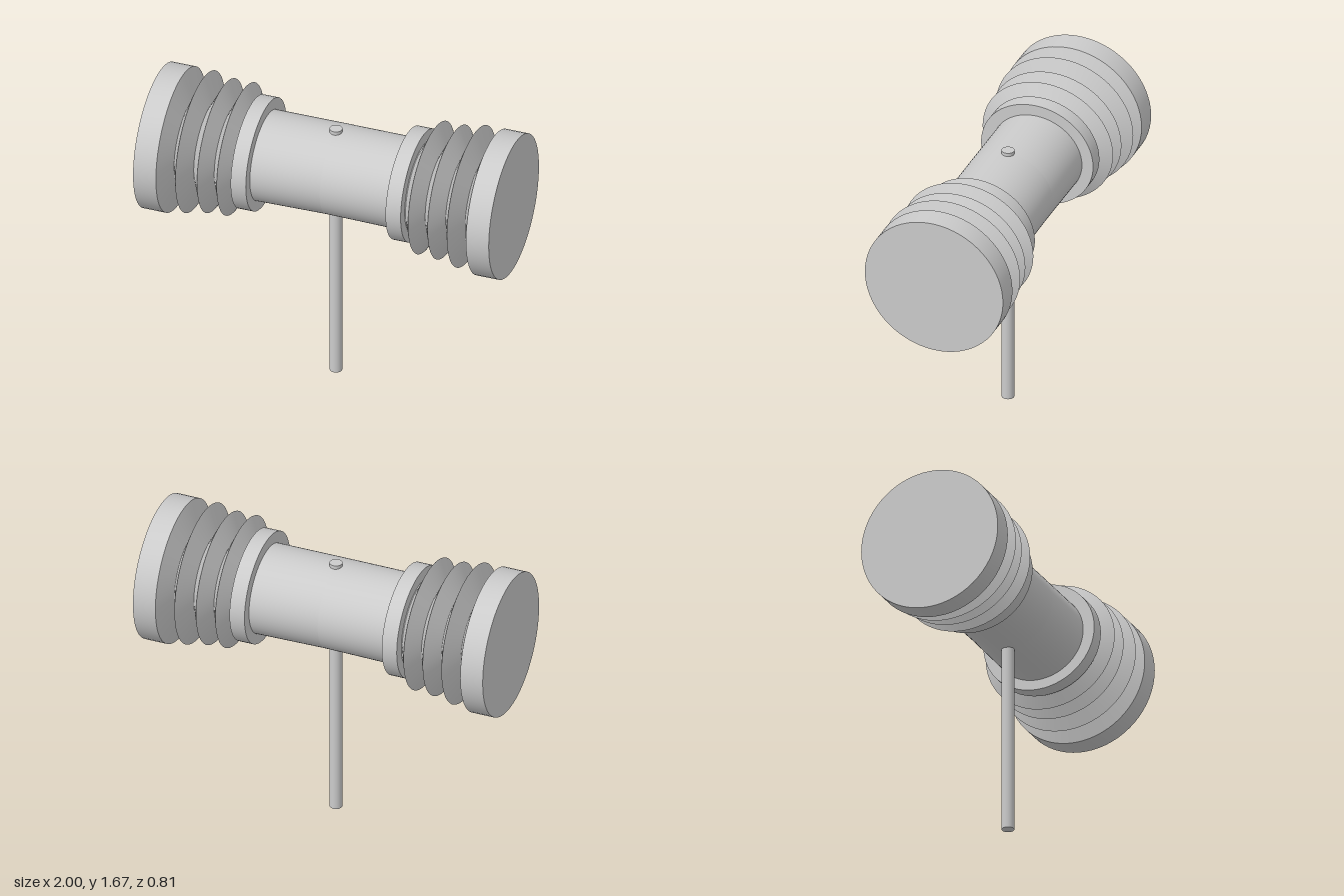
import * as THREE from 'three';

const SIDES = 64;
const material = new THREE.MeshStandardMaterial({ color: 0xcccccc });

// Surface through elliptical rings [x, centreY, radiusY, radiusZ] in order of
// rising x; every band has its own vertices, so edges between bands stay sharp.
function ringLoft(rings) {
  const pos = [], index = [];
  for (let b = 0; b + 1 < rings.length; b++) {
    const base = pos.length / 3;
    for (const [x, cy, ry, rz] of [rings[b], rings[b + 1]]) {
      for (let i = 0; i < SIDES; i++) {
        const a = (i / SIDES) * Math.PI * 2;
        pos.push(x, cy + ry * Math.cos(a), rz * Math.sin(a));
      }
    }
    for (let i = 0; i < SIDES; i++) {
      const p = base + i, q = base + ((i + 1) % SIDES);
      index.push(p, q, p + SIDES, q, q + SIDES, p + SIDES);
    }
  }
  const g = new THREE.BufferGeometry();
  g.setAttribute('position', new THREE.Float32BufferAttribute(pos, 3));
  g.setIndex(index);
  g.computeVertexNormals();
  return g;
}

// Mirror a ring list to the -x side, keeping x rising
const mirrored = (rings) => rings.map(([x, ...r]) => [-x, ...r]).reverse();

export function createModel() {
  const group = new THREE.Group();
  const add = (name, geometry, parent = group) => {
    const mesh = new THREE.Mesh(geometry, material);
    mesh.name = name;
    parent.add(mesh);
    return mesh;
  };

  // Upright rod, its tip just poking through the barrel
  add('rod', new THREE.CylinderGeometry(0.034, 0.034, 1.545, 32)).position.y = 0.7725;

  // Horizontal body, turned very slightly about the rod
  const body = new THREE.Group();
  body.name = 'body';
  body.rotation.y = -0.01;
  group.add(body);

  add('barrel', ringLoft([
    [-0.42, 1.283, 0.243, 0.258], [0, 1.287, 0.239, 0.258], [0.42, 1.283, 0.243, 0.258],
  ]), body);

  const collar = [
    [0.392, 1.2875, 0, 0], [0.392, 1.2875, 0.302, 0.322],
    [0.477, 1.2875, 0.302, 0.322], [0.477, 1.2875, 0, 0],
  ];

  // Pleats alternate between valleys and peaks out to the end drum
  const valley = (x) => [x, 1.28, 0.245, 0.258];
  const bellows = [
    valley(0.47), valley(0.482), [0.537, 1.289, 0.354, 0.375],
    valley(0.592), [0.647, 1.285, 0.359, 0.376],
    valley(0.707), [0.762, 1.284, 0.381, 0.395],
    valley(0.817), [0.87, 1.273, 0.395, 0.397],
  ];

  const drum = [
    [0.87, 1.273, 0.395, 0.397], [0.998, 1.273, 0.395, 0.397], [0.998, 1.273, 0, 0],
  ];

  for (const [side, place] of [['left', (r) => r], ['right', mirrored]]) {
    add(side + 'Collar', ringLoft(place(collar)), body);
    add(side + 'Bellows', ringLoft(place(bellows)), body);
    add(side + 'EndDrum', ringLoft(place(drum)), body);
  }
  return group;
}
